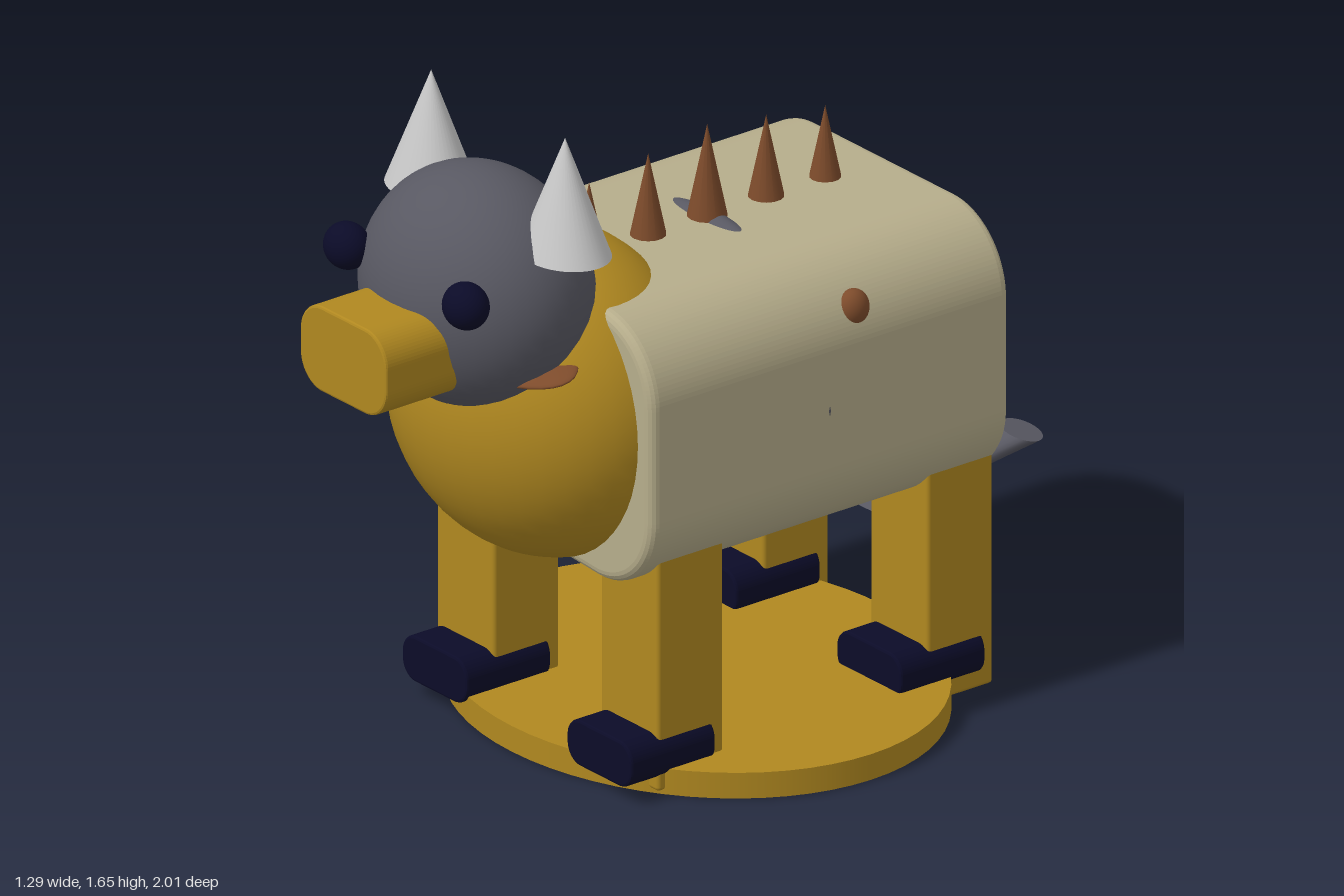
import * as THREE from 'three';
import { RoundedBoxGeometry } from 'three/addons/geometries/RoundedBoxGeometry.js';

const mat = (name, color, side = THREE.FrontSide) => {
  const m = new THREE.MeshStandardMaterial({ color, side });
  m.name = name;
  return m;
};

export function createModel() {
  const model = new THREE.Group();
  model.name = 'hornedAnimal';

  const gold = mat('gold', 0xb08820);
  const tan = mat('tan', 0xb6ad8b);
  const slate = mat('slate grey', 0x585862, THREE.DoubleSide);
  const navy = mat('navy', 0x0b0b28);
  const brown = mat('brown', 0x7d4b2b);
  const pale = mat('pale grey', 0xc8c8c8);

  const add = (name, geo, material, x = 0, y = 0, z = 0, parent = model) => {
    const mesh = new THREE.Mesh(geo, material);
    mesh.name = name;
    mesh.position.set(x, y, z);
    parent.add(mesh);
    return mesh;
  };
  const ellipsoid = (rx, ry, rz) => new THREE.SphereGeometry(1, 40, 28).scale(rx, ry, rz);

  // Rounded rectangle in xy, extruded along z and centred
  const roundedBar = (w, h, d, r, bevel) => {
    const s = new THREE.Shape();
    const x = w / 2 - r, y = h / 2 - r;
    s.absarc(x, y, r, 0, Math.PI / 2);
    s.absarc(-x, y, r, Math.PI / 2, Math.PI);
    s.absarc(-x, -y, r, Math.PI, Math.PI * 1.5);
    s.absarc(x, -y, r, Math.PI * 1.5, Math.PI * 2);
    s.closePath();
    const g = new THREE.ExtrudeGeometry(s, {
      depth: d - 2 * bevel, curveSegments: 8, bevelThickness: bevel,
      bevelSize: bevel, bevelOffset: -bevel, bevelSegments: 2,
    });
    return g.translate(0, 0, bevel - d / 2);
  };

  // Oval stand
  add('stand', new THREE.CylinderGeometry(1, 1, 0.065, 64).scale(0.645, 1, 0.55), gold, 0, 0.0325, -0.05);

  // Barrel body with a dented side and a notch underneath
  const profile = new THREE.Shape();
  profile.moveTo(0.255, 0.515);
  profile.absarc(0.255, 0.715, 0.2, -Math.PI / 2, 0);
  profile.absarc(0.255, 1.0, 0.2, 0, Math.PI / 2);
  profile.absarc(-0.255, 1.0, 0.2, Math.PI / 2, Math.PI);
  profile.lineTo(-0.42, 0.75);
  profile.absarc(-0.255, 0.715, 0.2, Math.PI, Math.PI * 1.5);
  profile.lineTo(-0.25, 0.545);
  profile.lineTo(-0.2, 0.545);
  profile.closePath();
  const bevel = 0.025;
  add('body', new THREE.ExtrudeGeometry(profile, {
    depth: 1.065 - 2 * bevel, curveSegments: 14, bevelThickness: bevel,
    bevelSize: bevel, bevelOffset: -bevel, bevelSegments: 4,
  }), tan, 0, 0, -0.615 + bevel);

  // Grey patches where an inner form breaks the skin
  add('greyPatches', ellipsoid(0.456, 0.3535, 0.11), slate, 0, 0.86, -0.08);

  // Chest, head and muzzle
  add('chest', ellipsoid(0.41, 0.4, 0.345), gold, 0, 0.9, 0.4);
  add('head', ellipsoid(0.305, 0.295, 0.257), slate, 0, 1.215, 0.603);
  add('snout', roundedBar(0.32, 0.215, 0.3, 0.08, 0.006), gold, 0, 1.132, 0.85);
  add('mouth', ellipsoid(0.335, 0.026, 0.125), brown, 0, 1.082, 0.595).rotation.x = 0.28;

  // Legs, feet and paired details
  const leg = new RoundedBoxGeometry(0.214, 0.595, 0.195, 2, 0.01);
  const foot = roundedBar(0.24, 0.115, 0.25, 0.048, 0.006);
  const horn = new THREE.ConeGeometry(1, 0.29, 40).scale(0.122, 1, 0.1);
  for (const side of [1, -1]) {
    const label = side > 0 ? 'left' : 'right';
    add(label + 'Horn', horn, pale, side * 0.248, 1.51, 0.54);
    add(label + 'Eye', ellipsoid(0.06, 0.057, 0.053), navy, side * 0.22, 1.295, 0.812);
    add(label + 'FlankSpot', ellipsoid(0.035, 0.046, 0.042), brown, side * 0.42, 1.085, -0.175);
    for (const [end, legZ, footZ] of [['Front', 0.2975, 0.36], ['Back', -0.5025, -0.44]]) {
      add(label + end + 'Leg', leg, gold, side * 0.304, 0.3075, legZ);
      add(label + end + 'Foot', foot, navy, side * 0.305, 0.0975, footZ);
    }
  }

  // Spikes along the spine, tallest in the middle
  for (let i = -2; i <= 2; i++) {
    const tip = 1.43 - Math.abs(i) * 0.025;
    const height = tip - 1.18;
    add('spike' + (i + 3), new THREE.ConeGeometry(0.052 - Math.abs(i) * 0.005, height, 14), brown,
      0, 1.18 + height / 2, -0.08 - i * 0.175);
  }

  // Flattened tail: a bent tube with end caps, squashed vertically
  const tail = new THREE.Group();
  tail.name = 'tail';
  tail.scale.y = 0.35;
  tail.position.y = 0.31;
  model.add(tail);
  const path = new THREE.CatmullRomCurve3([
    [-0.005, 0, -0.58], [-0.005, 0.1, -0.72], [0.01, 0.19, -0.83], [0.075, 0.36, -0.952],
  ].map((p) => new THREE.Vector3(...p)));
  add('tailTube', new THREE.TubeGeometry(path, 28, 0.064, 24), slate, 0, 0, 0, tail);
  for (const t of [0, 1]) {
    const p = path.getPoint(t);
    const cap = add('tailEnd', new THREE.CircleGeometry(0.064, 24), slate, p.x, p.y, p.z, tail);
    const out = path.getTangent(t).multiplyScalar(t ? 1 : -1);
    cap.quaternion.setFromUnitVectors(new THREE.Vector3(0, 0, 1), out);
  }

  return model;
}
